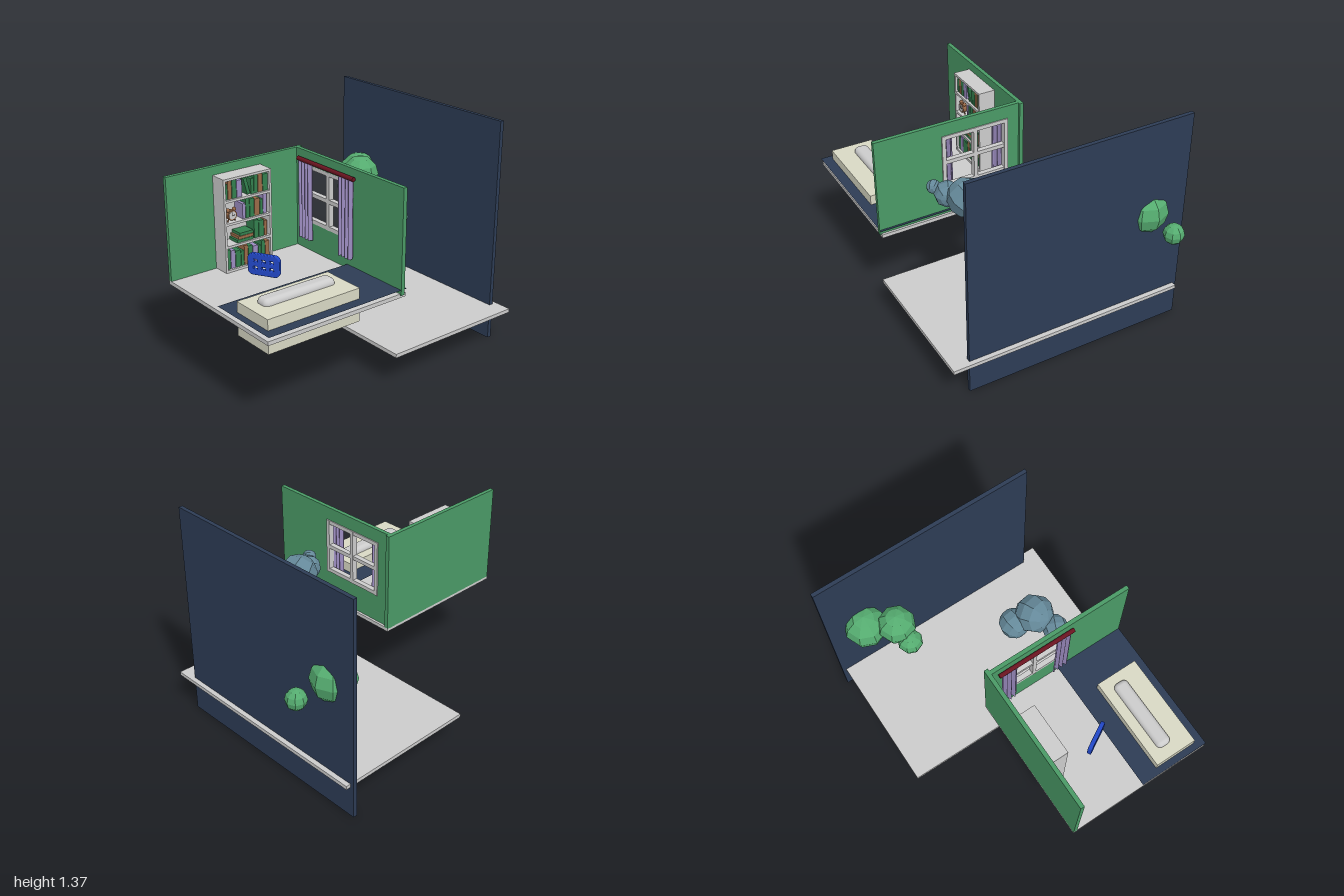
import * as THREE from 'three';
import { RoundedBoxGeometry } from 'three/addons/geometries/RoundedBoxGeometry.js';

const mat = (color, opts = {}) => new THREE.MeshStandardMaterial({ color, ...opts });
const GREY = mat(0xcccccc), WALL = mat(0x4a9a66), NAVY = mat(0x2d3c55, { side: THREE.DoubleSide });
const BEIGE = mat(0xd8d8c4), BLUE = mat(0x2248c8), RED = mat(0x6a1420), BROWN = mat(0x9a6a48);
const LEAF = mat(0x55ac70, { flatShading: true }), DUSK = mat(0x65899a, { flatShading: true });
const PURPLE = mat(0x9c8cc0, { side: THREE.DoubleSide }), DARK = mat(0x333333), BOOKGREEN = mat(0x33804e);

function add(parent, name, geometry, material, x = 0, y = 0, z = 0) {
  const m = new THREE.Mesh(geometry, material);
  m.name = name;
  m.position.set(x, y, z);
  parent.add(m);
  return m;
}

// Box given by its minimum and maximum on each axis
function box(parent, name, material, x0, x1, y0, y1, z0, z1) {
  return add(parent, name, new THREE.BoxGeometry(x1 - x0, y1 - y0, z1 - z0), material,
    (x0 + x1) / 2, (y0 + y1) / 2, (z0 + z1) / 2);
}

function group(parent, name) {
  const g = new THREE.Group();
  g.name = name;
  parent.add(g);
  return g;
}

// Rounded rectangle, usable as outline or hole
function roundRect(path, x, y, w, h, r) {
  path.moveTo(x + r, y);
  path.lineTo(x + w - r, y);
  path.absarc(x + w - r, y + r, r, -Math.PI / 2, 0);
  path.absarc(x + w - r, y + h - r, r, 0, Math.PI / 2);
  path.absarc(x + r, y + h - r, r, Math.PI / 2, Math.PI);
  path.absarc(x + r, y + r, r, Math.PI, Math.PI * 1.5);
  return path;
}

function buildBookshelf(root) {
  const g = group(root, 'bookshelf');
  const x0 = -0.705, x1 = -0.385, z0 = -0.165, z1 = -0.06, t = 0.014;
  box(g, 'shelfBack', GREY, x0, x1, 0.585, 1.14, z0, z0 + 0.01);
  box(g, 'shelfSide', GREY, x0, x0 + t, 0.585, 1.14, z0, z1);
  box(g, 'shelfSide', GREY, x1 - t, x1, 0.585, 1.14, z0, z1);
  const levels = [0.585, 0.73, 0.865, 1.0, 1.126];
  for (const y of levels) box(g, 'shelfBoard', GREY, x0 + t, x1 - t, y, y + t, z0, z1);

  // Upright books: start, end, shelf level
  const colours = [BOOKGREEN, BROWN, BOOKGREEN, PURPLE, BOOKGREEN];
  const rows = [[-0.69, -0.57, 3], [-0.515, -0.4, 3], [-0.575, -0.4, 2], [-0.5, -0.4, 1], [-0.69, -0.4, 0]];
  let n = 0;
  for (const [a, b, level] of rows) {
    for (let x = a; x < b - 0.02; n++) {
      const w = 0.019 + 0.005 * (n % 4), h = 0.09 + 0.009 * ((n * 3) % 4), y = levels[level] + t;
      box(g, 'book', colours[n % 5], x, Math.min(x + w, b), y, y + h, z0 + 0.012, z1 - 0.014);
      x += w + 0.003;
    }
  }
  add(g, 'leaningBook', new THREE.BoxGeometry(0.02, 0.1, 0.075), BOOKGREEN, -0.543, 1.067, -0.11).rotation.z = 0.25;
  for (let i = 0; i < 3; i++)
    box(g, 'flatBook', i % 2 ? BROWN : BOOKGREEN, -0.62 + 0.01 * i, -0.51, 0.745 + 0.019 * i, 0.762 + 0.019 * i, -0.15, -0.07);

  // Alarm clock
  const c = group(g, 'alarmClock');
  c.position.set(-0.645, 0.918, -0.085);
  add(c, 'clockCase', new THREE.CylinderGeometry(0.03, 0.03, 0.028, 24), BROWN).rotation.x = Math.PI / 2;
  add(c, 'clockFace', new THREE.CylinderGeometry(0.023, 0.023, 0.004, 24), GREY, 0, 0, 0.014).rotation.x = Math.PI / 2;
  box(c, 'clockHand', DARK, -0.002, 0.002, 0, 0.018, 0.016, 0.018);
  box(c, 'clockHand', DARK, 0, 0.013, -0.002, 0.002, 0.016, 0.018);
  for (const s of [-1, 1]) {
    add(c, 'clockBell', new THREE.SphereGeometry(0.012, 12, 8), BROWN, s * 0.02, 0.03, 0);
    add(c, 'clockFoot', new THREE.CylinderGeometry(0.004, 0.004, 0.02, 8), BROWN, s * 0.02, -0.03, 0).rotation.z = s * 0.6;
  }
}

function buildWindowWall(root) {
  const g = group(root, 'windowWall');
  const za = -0.09, zb = 0.34, ya = 0.76, yb = 1.11, t = 0.024;
  // Wall with an opening, drawn in (z, y)
  const s = new THREE.Shape([[-0.19, 0.575], [0.755, 0.575], [0.755, 1.19], [-0.19, 1.19]].map(p => new THREE.Vector2(...p)));
  s.holes.push(new THREE.Path([[za, ya], [za, yb], [zb, yb], [zb, ya]].map(p => new THREE.Vector2(...p))));
  const wall = add(g, 'sideWall', new THREE.ExtrudeGeometry(s, { depth: 0.025, bevelEnabled: false }), WALL, -0.1, 0, 0);
  wall.rotation.y = -Math.PI / 2;
  // Frame and crossing bars
  const zm = (za + zb) / 2, ym = (ya + yb) / 2;
  for (const z of [za, zm - t / 2, zb - t]) box(g, 'windowUpright', GREY, -0.128, -0.092, ya, yb, z, z + t);
  for (const y of [ya, ym - t / 2, yb - t]) box(g, 'windowBar', GREY, -0.126, -0.094, y, y + t, za, zb);

  // Rod and pleated curtains
  add(g, 'curtainRod', new THREE.CylinderGeometry(0.013, 0.013, 0.5, 16), RED, -0.143, 1.137, 0.122).rotation.x = Math.PI / 2;
  for (const z of [-0.06, 0.305]) {
    const geo = new THREE.PlaneGeometry(0.11, 0.48, 32, 1);
    const p = geo.attributes.position;
    for (let i = 0; i < p.count; i++) p.setZ(i, 0.012 * Math.sin(p.getX(i) * 220));
    geo.computeVertexNormals();
    add(g, 'curtain', geo, PURPLE, -0.143, 0.895, z).rotation.y = -Math.PI / 2;
  }
}

export function createModel() {
  const root = new THREE.Group();
  root.name = 'roomAndGarden';

  // Large panel and lower ground
  box(root, 'tallPanel', NAVY, 0.72, 0.745, 0, 1.37, -0.76, 0.635);
  box(root, 'groundSlab', GREY, -0.14, 0.775, 0.197, 0.22, -0.737, 0.745);

  // Room shell
  box(root, 'roomFloor', GREY, -1, -0.085, 0.56, 0.583, -0.19, 0.747);
  box(root, 'backWall', WALL, -1, -0.085, 0.578, 1.19, -0.19, -0.165);
  add(root, 'rug', new THREE.PlaneGeometry(0.915, 0.455), NAVY, -0.5425, 0.608, 0.5275).rotation.x = -Math.PI / 2;
  buildWindowWall(root);
  buildBookshelf(root);

  // Low block with a cushion on top
  box(root, 'bedBlock', BEIGE, -0.96, -0.365, 0.475, 0.67, 0.422, 0.692);
  add(root, 'cushion', new RoundedBoxGeometry(0.462, 0.07, 0.092, 5, 0.03), GREY, -0.657, 0.67, 0.53);

  // Blue upright frame, turned on the floor
  const outline = roundRect(new THREE.Shape(), -0.09, -0.058, 0.18, 0.116, 0.025);
  for (let i = 0; i < 3; i++)
    for (const y of [-0.034, 0.008])
      outline.holes.push(roundRect(new THREE.Path(), -0.066 + i * 0.048, y, 0.034, 0.026, 0.008));
  const frameGeo = new THREE.ExtrudeGeometry(outline, { depth: 0.016, bevelSize: 0.005, bevelThickness: 0.005, bevelSegments: 3, curveSegments: 6 });
  frameGeo.translate(0, 0, -0.008);
  add(root, 'blueFrame', frameGeo, BLUE, -0.637, 0.713, 0.212).rotation.y = -1.05;

  // Faceted foliage: x, y, z, radius
  const clusters = [
    ['greenBush', LEAF, 0, [[0.675, 0.773, -0.54, 0.132], [0.557, 0.828, -0.39, 0.116], [0.447, 0.768, -0.37, 0.077], [0.935, 0.77, -0.54, 0.061]]],
    ['blueBush', DUSK, 0.5, [[0.16, 0.845, 0.32, 0.118], [0.195, 0.787, 0.2, 0.092], [0.03, 0.815, 0.38, 0.079], [-0.033, 0.845, 0.435, 0.042]]],
  ];
  for (const [name, material, tilt, balls] of clusters) {
    const g = group(root, name);
    balls.forEach(([x, y, z, r], i) =>
      add(g, 'foliageBall', new THREE.SphereGeometry(r, 8, 6), material, x, y, z).rotation.set(tilt * (i + 1), 0, tilt * (i + 2)));
  }
  return root;
}
